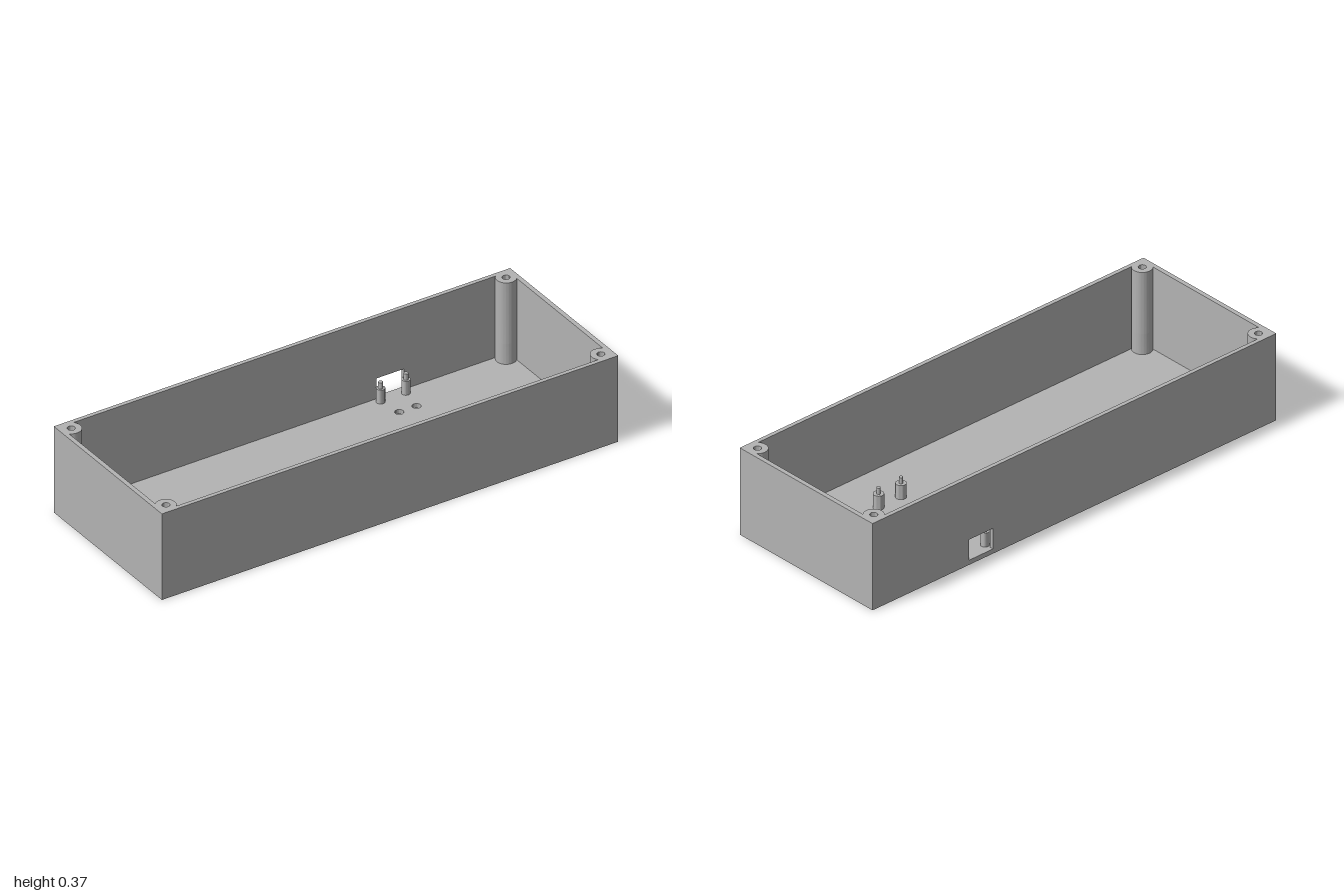
import * as THREE from 'three';
import { toCreasedNormals } from 'three/addons/utils/BufferGeometryUtils.js';

const W = 1, D = 0.362, H = 0.372;          // half width, half depth, height
const IW = 0.982, ID = 0.345;               // inner half sizes
const BOSS = { x: 0.953, z: 0.317, r: 0.04, hole: 0.015 };
const FLOOR = 0.02, WIN_TOP = 0.108, WIN_L = 0.403, WIN_R = 0.523;

const V = (x, y) => new THREE.Vector2(x, y);
const circle = (x, y, r) => new THREE.Path().absarc(x, y, r, 0, Math.PI * 2, true);

// Clockwise inner outline, bulging around the four screw posts
function innerOutline() {
  const pts = [];
  [[1, 1], [1, -1], [-1, -1], [-1, 1]].forEach(([sx, sy], i) => {
    const start = Math.PI * (0.75 - 0.5 * i);
    for (let k = 0; k <= 24; k++) {
      const a = start + Math.PI * k / 24;
      const x = BOSS.x + sx * Math.cos(a) * BOSS.r, y = BOSS.z + sy * Math.sin(a) * BOSS.r;
      pts.push(V(sx * Math.min(x, IW), sy * Math.min(y, ID)));
    }
  });
  return pts;
}

export function createModel() {
  const group = new THREE.Group();
  const plastic = new THREE.MeshStandardMaterial({ color: 0xb3b3b3 });
  plastic.name = 'grey plastic';

  const add = (name, geometry) => {
    const mesh = new THREE.Mesh(geometry, plastic);
    mesh.name = name;
    group.add(mesh);
    return mesh;
  };
  // Plan shape (y towards the back) raised from y0 to y1
  const layer = (name, shape, y0, y1) => {
    const g = new THREE.ExtrudeGeometry(shape, { depth: y1 - y0, bevelEnabled: false, curveSegments: 24 });
    g.rotateX(-Math.PI / 2).translate(0, y0, 0);
    return add(name, toCreasedNormals(g, 0.6));
  };
  const screwHoles = (shape) => {
    for (const sx of [-1, 1]) for (const sy of [-1, 1])
      shape.holes.push(circle(sx * BOSS.x, sy * BOSS.z, BOSS.hole));
    return shape;
  };
  const rect = () => new THREE.Shape([V(-W, -D), V(W, -D), V(W, D), V(-W, D)]);

  // Floor with two cable holes
  const floor = rect();
  for (const x of [0.423, 0.499]) floor.holes.push(circle(x, 0.223, 0.017));
  layer('floor', floor, 0, FLOOR);

  // Lower walls and posts, open at the back for the connector window
  const lower = new THREE.Shape([
    V(WIN_L, D), V(-W, D), V(-W, -D), V(W, -D), V(W, D), V(WIN_R, D), V(WIN_R, ID),
    ...innerOutline(), V(WIN_L, ID),
  ]);
  layer('lowerWalls', screwHoles(lower), FLOOR, WIN_TOP);

  // Upper walls and posts
  const upper = rect();
  upper.holes.push(new THREE.Path(innerOutline()));
  layer('upperWalls', screwHoles(upper), WIN_TOP, H);

  // Board standoffs with locating pins
  for (const [z, r, pin] of [[-0.32, 0.017, 0.009], [0.138, 0.021, 0.008]]) {
    for (const x of [0.405, 0.516]) {
      const profile = [V(r, FLOOR), V(r, 0.08), V(pin, 0.08), V(pin, 0.106), V(0, 0.106)];
      const g = toCreasedNormals(new THREE.LatheGeometry(profile, 24), 0.6);
      add('standoff', g).position.set(x, 0, z);
    }
  }
  return group;
}
